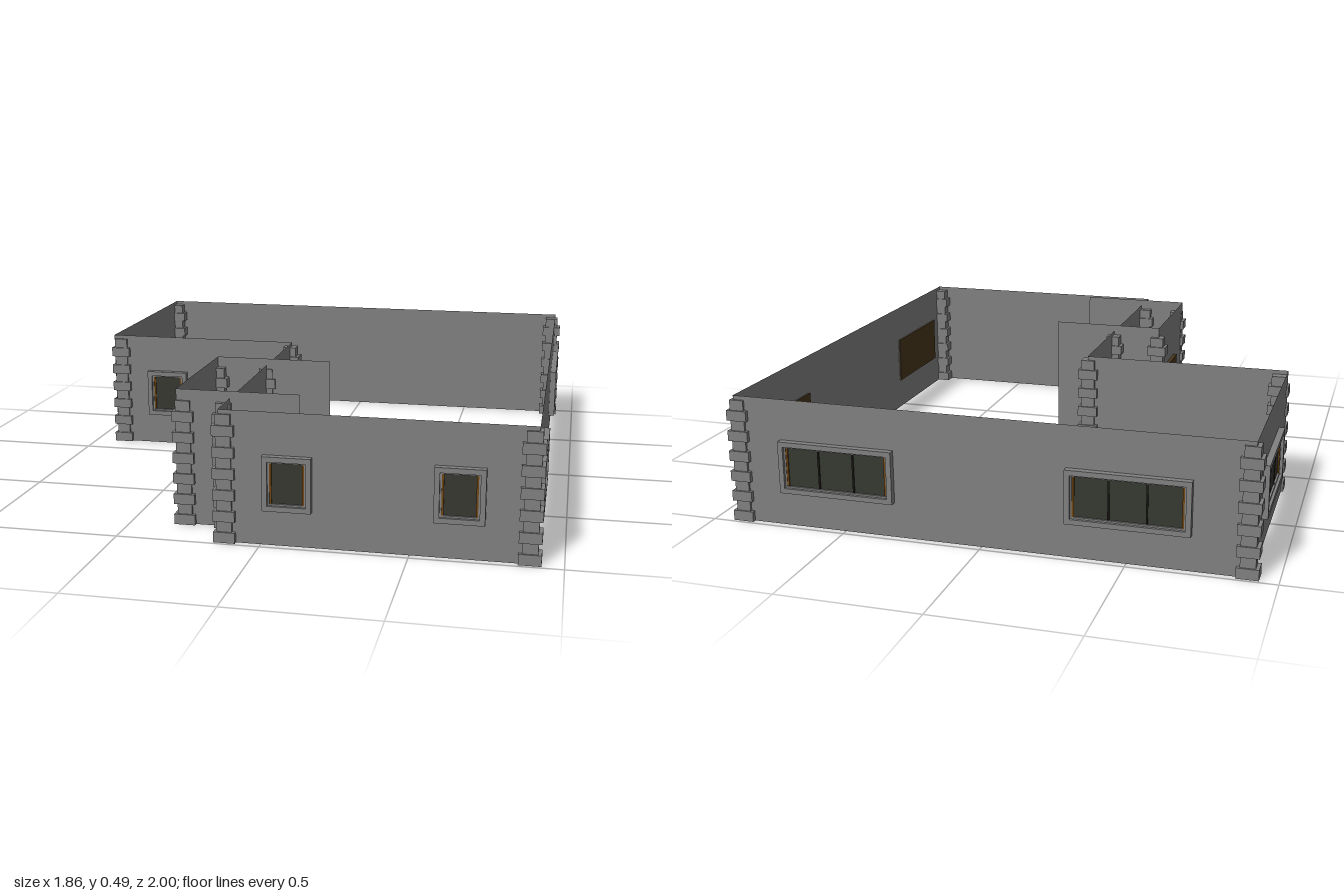
import * as THREE from 'three';

export function createModel() {
  const root = new THREE.Group();
  root.name = 'lShapedHouseWalls';
  const mat = (name, color, side = THREE.FrontSide) => {
    const m = new THREE.MeshStandardMaterial({ color, side });
    m.name = name;
    return m;
  };
  const grey = mat('stone grey', 0x808080, THREE.DoubleSide);
  const glass = mat('dark glass', 0x363831);
  const brown = mat('dark brown wood', 0x49361c);
  const amber = mat('amber wood', 0x704612);
  const black = mat('near black', 0x1c1a17);

  const add = (parent, name, geo, material, x = 0, y = 0, z = 0) => {
    const m = new THREE.Mesh(geo, material);
    m.name = name;
    m.position.set(x, y, z);
    parent.add(m);
    return m;
  };
  const box = (parent, name, material, w, h, d, x, y, z) =>
    add(parent, name, new THREE.BoxGeometry(w, h, d), material, x, y, z);

  // Open sheet wall between two plan points
  const wall = (name, x1, z1, x2, z2, h) => {
    const m = add(root, name, new THREE.PlaneGeometry(Math.hypot(x2 - x1, z2 - z1), h), grey,
      (x1 + x2) / 2, h / 2, (z1 + z2) / 2);
    m.rotation.y = -Math.atan2(z2 - z1, x2 - x1);
  };

  // Main walls follow the L-shaped outline
  const plan = [[-0.91, -0.975], [0.905, -0.975], [0.905, 0.975], [-0.14, 0.975], [-0.14, -0.122], [-0.91, -0.122]];
  plan.forEach(([x, z], i) => {
    const [nx, nz] = plan[(i + 1) % plan.length];
    wall('mainWall', x, z, nx, nz, 0.46);
  });

  // Porch: two side walls running into the house, an outer wall and a floor
  wall('porchBackWall', -0.33, 0.31, 0.105, 0.31, 0.485);
  wall('porchFrontWall', -0.33, 0.83, 0.105, 0.83, 0.485);
  wall('porchOuterWall', -0.33, 0.31, -0.33, 0.83, 0.485);
  box(root, 'porchFloor', grey, 0.21, 0.006, 0.52, -0.225, 0.003, 0.57);

  // Door with a knob
  box(root, 'door', brown, 0.022, 0.29, 0.14, -0.334, 0.147, 0.57);
  add(root, 'doorKnob', new THREE.SphereGeometry(0.008, 10, 8), black, -0.351, 0.135, 0.62);

  // Quoins: stacked blocks alternating wide and narrow
  const quoins = [[-0.898, -0.96], [0.89, -0.96], [-0.88, -0.137], [-0.143, -0.11], [-0.325, 0.315],
    [-0.143, 0.292], [-0.306, 0.815], [-0.16, 0.825], [-0.123, 0.96], [0.89, 0.96]];
  const levels = 12, levelH = 0.445 / levels;
  for (const [x, z] of quoins) {
    const stack = new THREE.Group();
    stack.name = 'quoinStack';
    stack.position.set(x, 0, z);
    for (let i = 0; i < levels; i++) {
      const wide = i % 2 === 0;
      box(stack, 'quoinBlock', grey, wide ? 0.075 : 0.052, levelH, wide ? 0.06 : 0.047,
        0, (i + 0.5) * levelH, 0);
    }
    root.add(stack);
  }

  // Window facing local +z: stepped frame, glass, jambs, mullions and inner board
  const ring = (w, h, t, d) => {
    const s = new THREE.Shape([[-1, -1], [1, -1], [1, 1], [-1, 1]].map(([a, b]) => new THREE.Vector2(a * w / 2, b * h / 2)));
    s.holes.push(new THREE.Path([[-1, -1], [-1, 1], [1, 1], [1, -1]].map(([a, b]) =>
      new THREE.Vector2(a * (w / 2 - t), b * (h / 2 - t)))));
    return new THREE.ExtrudeGeometry(s, { depth: d, bevelEnabled: false });
  };
  const addWindow = (x, z, w, turn, panes, boardInside) => {
    const g = new THREE.Group();
    g.name = 'window';
    g.position.set(x, 0.22, z);
    g.rotation.y = turn;
    const h = 0.188, iw = w - 0.036, ih = h - 0.036;
    add(g, 'outerFrame', ring(w, h, 0.018, 0.024), grey);
    add(g, 'innerFrame', ring(iw, ih, 0.006, 0.014), grey);
    box(g, 'glassPane', glass, iw - 0.01, ih - 0.01, 0.006, 0, 0, 0.004);
    for (const s of [-1, 1])
      box(g, 'sideJamb', amber, 0.007, ih - 0.012, 0.006, s * (iw / 2 - 0.0095), 0, 0.009);
    for (let i = 1; i < panes; i++)
      box(g, 'mullion', black, 0.006, ih - 0.012, 0.006, (i / panes - 0.5) * iw, 0, 0.008);
    if (boardInside) box(g, 'innerBoard', brown, w, h, 0.004, 0, 0, -0.004);
    root.add(g);
  };
  for (const x of [0.094, 0.662]) addWindow(x, 0.976, 0.166, 0, 1, false);
  for (const x of [-0.676, -0.366]) addWindow(x, -0.121, 0.168, 0, 1, false);
  for (const x of [0.522, -0.505]) addWindow(x, -0.976, 0.42, Math.PI, 3, false);
  for (const z of [0.665, -0.637]) addWindow(0.903, z, 0.42, Math.PI / 2, 3, true);
  addWindow(-0.908, -0.567, 0.42, -Math.PI / 2, 3, true);

  return root;
}
